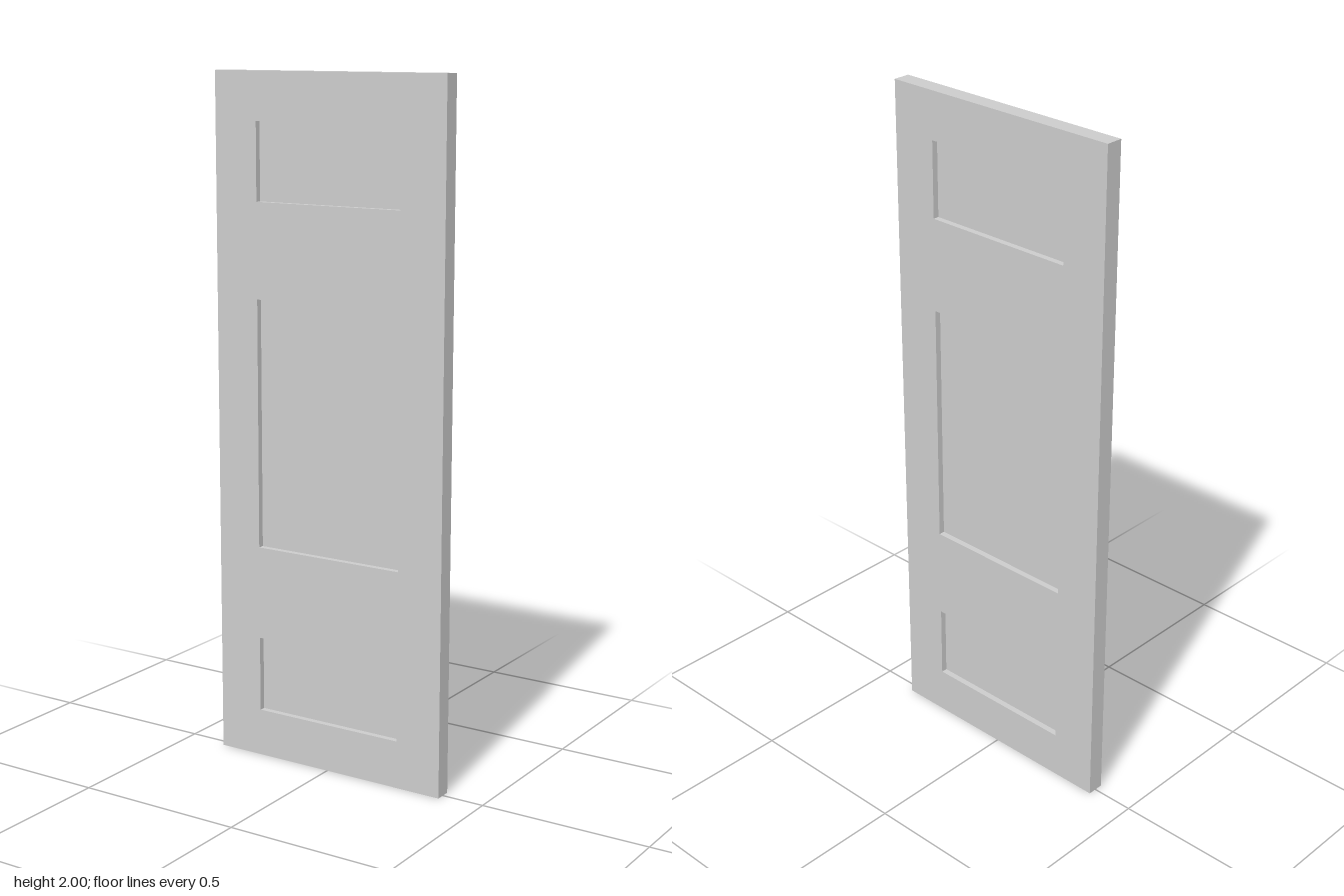
import * as THREE from 'three';

const WIDTH = 0.746, HEIGHT = 2, DEPTH = 0.05;
const PANEL_WIDTH = 0.47, PANEL_DEPTH = 0.014;
const PANELS = [
  { name: 'lowerPanel', bottom: 0.14, top: 0.363 },
  { name: 'middlePanel', bottom: 0.638, top: 1.364 },
  { name: 'upperPanel', bottom: 1.639, top: 1.862 },
];

// Traces a centred rectangle onto a shape or path
function traceRect(path, width, bottom, top) {
  const x = width / 2;
  path.moveTo(-x, bottom);
  path.lineTo(x, bottom);
  path.lineTo(x, top);
  path.lineTo(-x, top);
  path.closePath();
  return path;
}

export function createModel() {
  const door = new THREE.Group();
  door.name = 'door';
  const material = new THREE.MeshStandardMaterial({ color: 0xcccccc });

  // Frame with three openings
  const outline = traceRect(new THREE.Shape(), WIDTH, 0, HEIGHT);
  for (const { bottom, top } of PANELS) {
    outline.holes.push(traceRect(new THREE.Path(), PANEL_WIDTH, bottom, top));
  }
  const frameGeometry = new THREE.ExtrudeGeometry(outline, { depth: DEPTH, bevelEnabled: false });
  frameGeometry.translate(0, 0, -DEPTH / 2);
  const frame = new THREE.Mesh(frameGeometry, material);
  frame.name = 'doorFrame';
  door.add(frame);

  // Thin panels recessed on both faces
  for (const { name, bottom, top } of PANELS) {
    const panel = new THREE.Mesh(new THREE.BoxGeometry(PANEL_WIDTH, top - bottom, PANEL_DEPTH), material);
    panel.name = name;
    panel.position.y = (bottom + top) / 2;
    door.add(panel);
  }

  return door;
}
